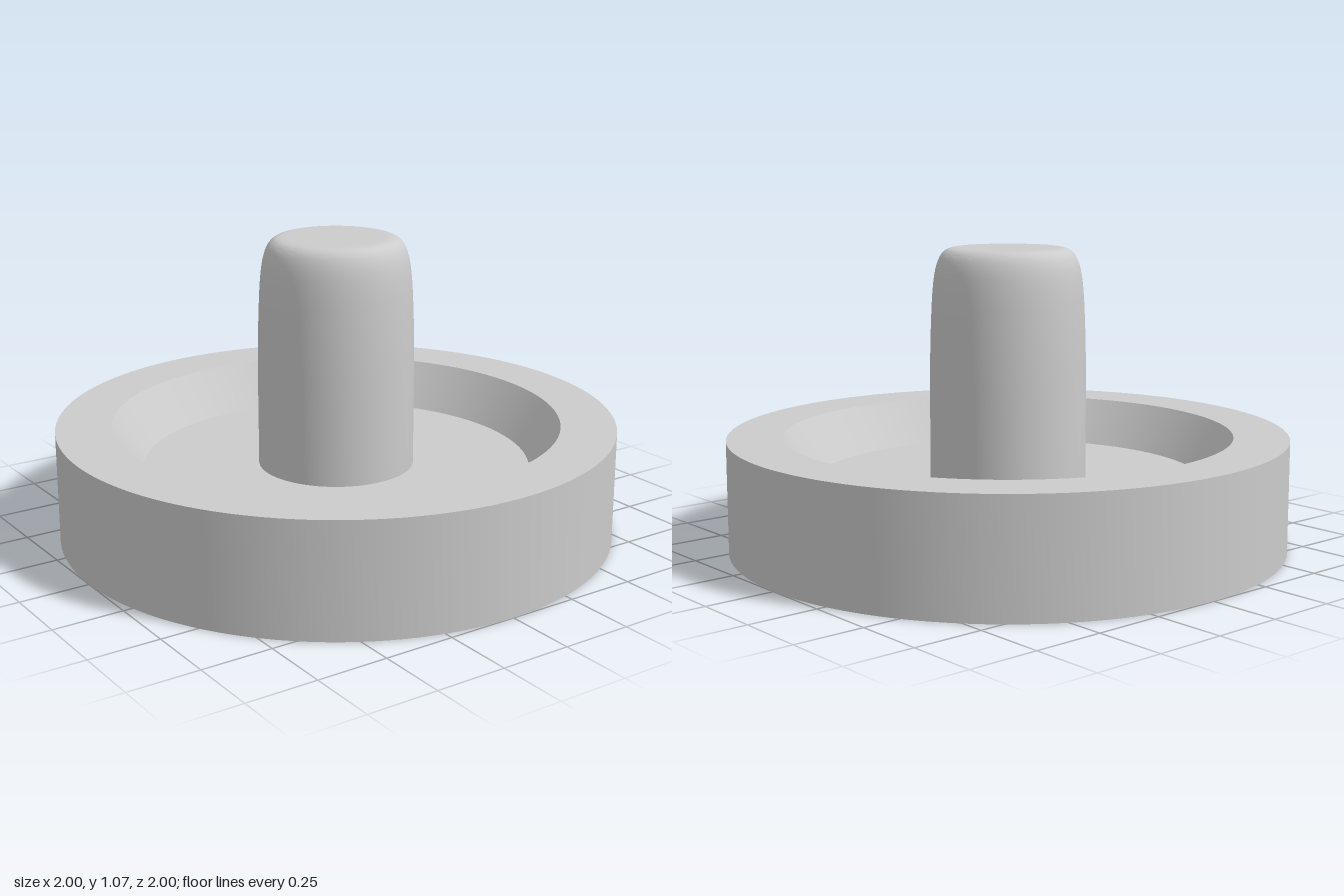
import * as THREE from 'three';
import { toCreasedNormals } from 'three/addons/utils/BufferGeometryUtils.js';

const SEGMENTS = 128;
const FLOOR = 0.24;

// Turned part: smooth around the axis, sharp at profile corners
function turned(name, points, material) {
  const geometry = toCreasedNormals(new THREE.LatheGeometry(points, SEGMENTS), 0.5);
  const mesh = new THREE.Mesh(geometry, material);
  mesh.name = name;
  return mesh;
}

export function createModel() {
  const group = new THREE.Group();
  group.name = 'pusher';
  const material = new THREE.MeshStandardMaterial({ color: 0xcccccc });
  const v = (x, y) => new THREE.Vector2(x, y);

  // Round base with a raised rim and a dish with sloping walls
  group.add(turned('base', [
    v(0, 0), v(1, 0), v(1, 0.403), v(0.803, 0.403), v(0.697, FLOOR), v(0, FLOOR),
  ], material));

  // Slightly tapered handle with a rounded shoulder and flat top
  const shoulder = new THREE.SplineCurve([
    v(0.279, 0.55), v(0.277, 0.7), v(0.273, 0.82), v(0.267, 0.92), v(0.257, 0.99),
    v(0.241, 1.035), v(0.22, 1.058), v(0.195, 1.066), v(0.17, 1.067),
  ]).getPoints(32);
  group.add(turned('handle', [v(0.279, FLOOR), ...shoulder, v(0, 1.067)], material));

  return group;
}
